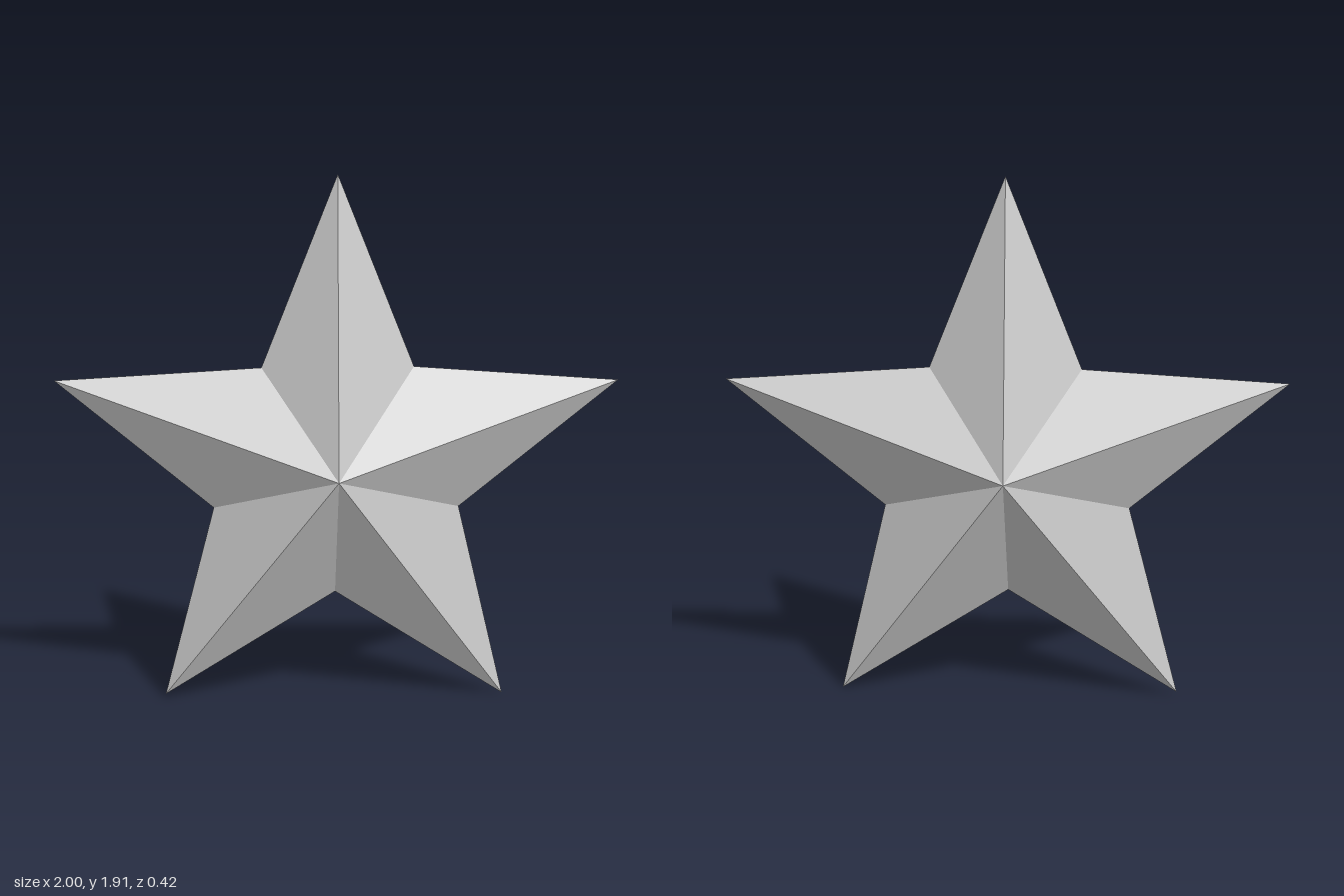
import * as THREE from 'three';

// Star outline, clockwise from the top tip: tips and notches alternate
const OUTLINE = [
  [0.0, 1.91], [0.27, 1.23], [1.0, 1.175], [0.435, 0.715], [0.605, 0.0],
  [-0.01, 0.4], [-0.63, 0.015], [-0.445, 0.72], [-1.0, 1.19], [-0.27, 1.23],
];
const CENTRE = [-0.005, 0.86];
const DEPTH = 0.21;

// One faceted half: a fan of triangles from the raised centre to the rim
function starHalf(name, side, material) {
  const positions = [];
  OUTLINE.forEach((a, i) => {
    const b = OUTLINE[(i + 1) % OUTLINE.length];
    const [first, second] = side > 0 ? [b, a] : [a, b];
    positions.push(...CENTRE, side * DEPTH, ...first, 0, ...second, 0);
  });
  const geometry = new THREE.BufferGeometry();
  geometry.setAttribute('position', new THREE.Float32BufferAttribute(positions, 3));
  geometry.computeVertexNormals();
  const mesh = new THREE.Mesh(geometry, material);
  mesh.name = name;
  return mesh;
}

export function createModel() {
  const star = new THREE.Group();
  star.name = 'star';
  const material = new THREE.MeshStandardMaterial({ color: 0xcccccc, flatShading: true });
  star.add(starHalf('frontHalf', 1, material), starHalf('backHalf', -1, material));
  return star;
}
